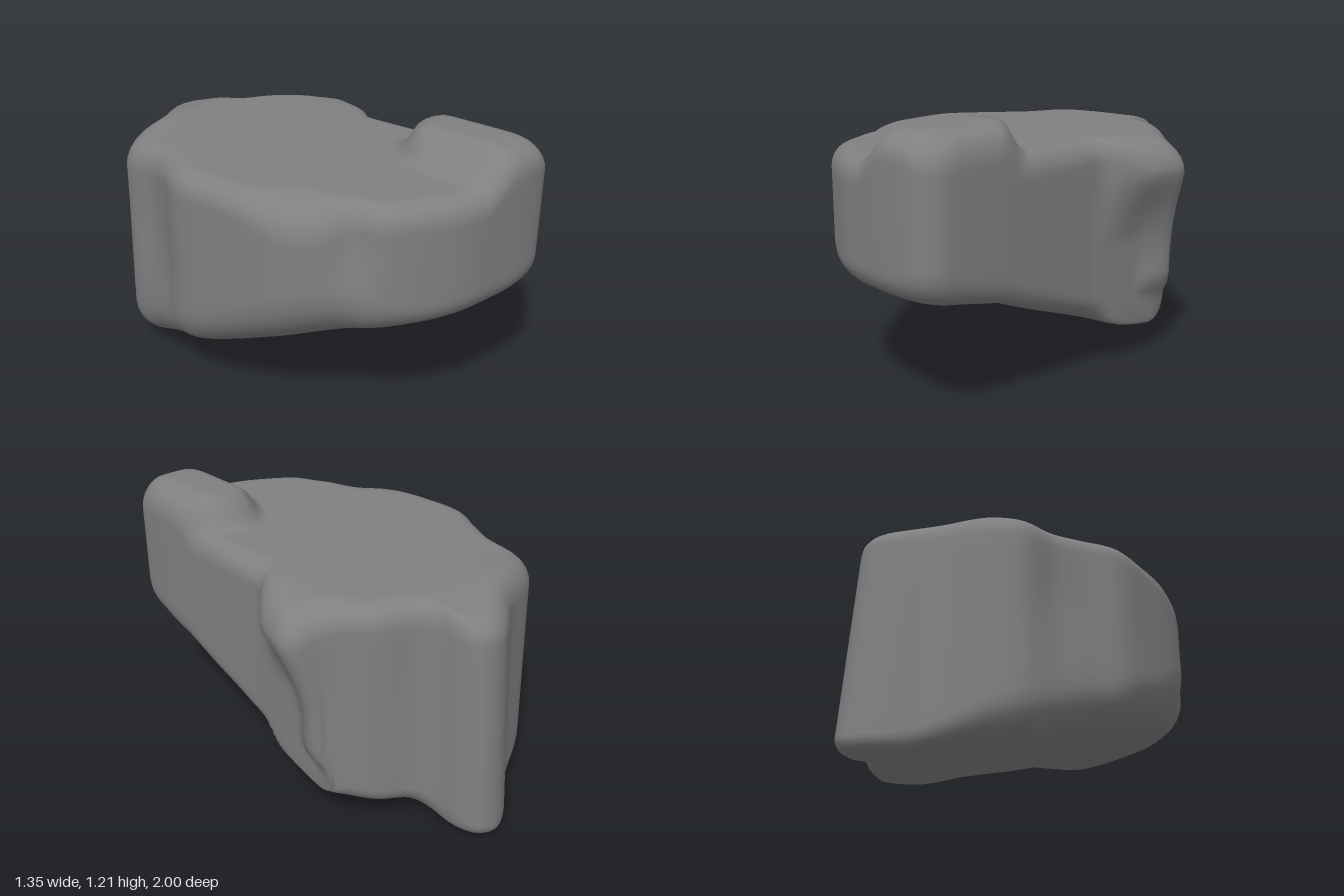
import * as THREE from 'three';

// Plan outline of the boulder (x, z), starting at the back point and going by the left (+x) side
const OUTLINE = [
  [0.03, -1.0], [0.12, -0.98], [0.16, -0.9], [0.18, -0.78], [0.22, -0.7], [0.38, -0.6],
  [0.5, -0.48], [0.56, -0.43], [0.62, -0.41], [0.67, -0.36], [0.66, -0.28], [0.62, -0.17],
  [0.55, -0.08], [0.49, -0.01], [0.48, 0.15], [0.48, 0.45], [0.47, 0.8], [0.45, 0.93],
  [0.39, 0.99], [0.28, 1.0], [0.1, 0.98], [-0.06, 0.95], [-0.2, 0.89], [-0.4, 0.75],
  [-0.47, 0.63], [-0.61, 0.42], [-0.65, 0.28], [-0.67, 0.1], [-0.67, -0.13], [-0.6, -0.28],
  [-0.55, -0.42], [-0.53, -0.62], [-0.44, -0.72], [-0.22, -0.83], [-0.06, -0.96],
];
// Underside height along z, and the share of the side spur that is taken away along y
const UNDER = [[-1, 0], [-0.85, 0], [-0.6, 0.045], [-0.3, 0.14], [0, 0.25], [0.4, 0.4], [0.6, 0.48], [0.8, 0.52], [1, 0.54]];
const SPUR = [[0.2, 0.9], [0.3, 0.78], [0.37, 0.53], [0.5, 0.53], [0.6, 0.48], [0.72, 0.33], [0.9, 0], [1.1, 0]];

const smooth = THREE.MathUtils.smoothstep;
const bell = (x, z, cx, cz, width) => Math.exp(-((x - cx) ** 2 + (z - cz) ** 2) / width);

function sample(table, t) {
  if (t <= table[0][0]) return table[0][1];
  for (let i = 1; i < table.length; i++) {
    const [a, va] = table[i - 1], [b, vb] = table[i];
    if (t <= b) return va + (vb - va) * (t - a) / (b - a);
  }
  return table[table.length - 1][1];
}

// Sloping underside, a little higher toward +x
const bottomY = (x, z) => sample(UNDER, z) + 0.05 * smooth(x, 0, 0.25) * smooth(-z, 0.1, 0.6);

// Flat top with a domed knob at the front left corner and slight falls at the back corners and on the spur
function topY(x, z) {
  const crown = 0.135 - 0.045 * smooth(x, 0.33, 0.48) - 0.02 * smooth(z, 0.8, 1);
  const start = z - 3 * (x - 0.27) ** 2;
  return 1.07
    + crown * smooth(x, 0.0, 0.2) * smooth(start, 0.36, 0.48)
    - 0.04 * smooth(-z, 0.65, 0.95)
    - 0.03 * bell(x, z, -0.53, -0.62, 0.06)
    - 0.03 * smooth(x, 0.42, 0.65) * smooth(-z, 0, 0.2);
}

// Height-dependent changes to the side walls
function shapeWall(x, z, y) {
  // The spur shrinks and slips backward as it goes down, more on its front flank
  const cut = sample(SPUR, y);
  const flank = Math.min(0.9, cut * (1 + 0.9 * smooth(z, -0.36, -0.15)));
  const out = Math.max(0, x - 0.485) * smooth(-z, -0.05, 0.05);
  let nx = x - out * flank;
  let nz = z - 0.5 * out * cut;
  // The back wall leans forward as it rises
  nz += 0.07 * smooth(-z, 0.55, 1.0) * y;
  // Notch on the upper front right corner
  const notch = 0.04 * smooth(y, 0.65, 0.95) * bell(x, z, -0.43, 0.67, 0.006);
  nx += notch * 0.6;
  nz -= notch * 0.7;
  // The hollow in the right wall fills out toward the base
  nx -= 0.04 * (1 - smooth(y, 0.25, 0.75)) * bell(x, z, -0.56, -0.4, 0.03);
  return [nx, nz];
}

// Radius of the rounded lower edge and of the rounded upper edge
const lowRadius = (x, z) => 0.1 + 0.09 * smooth(-x, 0.2, 0.65) + 0.04 * smooth(-x, 0.3, 0.6) * smooth(z, 0, 0.4)
  + 0.04 * bell(x, z, 0.45, 0.95, 0.03) - 0.04 * smooth(-z, 0.75, 0.95);
const topRadius = (x, z) => 0.1 + 0.08 * bell(x, z, -0.56, 0.48, 0.03)
  + 0.03 * bell(x, z, -0.53, -0.62, 0.05) + 0.05 * smooth(x, 0.5, 0.65);

function boulderGeometry() {
  const curve = new THREE.CatmullRomCurve3(
    OUTLINE.map(([x, z]) => new THREE.Vector3(x, 0, z)), true, 'centripetal');
  const N = 160, pts = curve.getSpacedPoints(N).slice(0, N);

  // Ring list from the underside centre, round the lower edge, up the wall, round the upper edge, to the top centre
  const rings = [];
  const CAP = 24, ARC = 6, WALL = 12;
  for (let k = 1; k < CAP; k++) rings.push({ cap: k / CAP, side: 0 });
  for (let k = 0; k <= ARC; k++) rings.push({ arc: k / ARC * Math.PI / 2, side: 0 });
  for (let k = 1; k < WALL; k++) rings.push({ wall: k / WALL });
  for (let k = ARC; k >= 0; k--) rings.push({ arc: k / ARC * Math.PI / 2, side: 1 });
  for (let k = CAP - 1; k > 0; k--) rings.push({ cap: k / CAP, side: 1 });

  const pos = [], index = [];
  for (const ring of rings) {
    for (const p of pts) {
      const len = Math.hypot(p.x, p.z);
      const rLow = lowRadius(p.x, p.z), rTop = topRadius(p.x, p.z);
      const r = ring.side ? rTop : rLow;
      let s = 1, y;
      if (ring.cap !== undefined) s = ring.cap * (1 - r / len);
      else if (ring.arc !== undefined) s = 1 - r * (1 - Math.sin(ring.arc)) / len;
      const x = p.x * s, z = p.z * s;
      const lo = bottomY(x, z), hi = topY(x, z);
      if (ring.wall !== undefined) y = THREE.MathUtils.lerp(lo + rLow, hi - rTop, ring.wall);
      else {
        const lift = ring.arc !== undefined ? r * (1 - Math.cos(ring.arc)) : 0;
        y = ring.side ? hi - lift : lo + lift;
      }
      const [wx, wz] = shapeWall(x, z, y);
      pos.push(wx, y, wz);
    }
  }
  const last = rings.length - 1;
  for (let j = 0; j < last; j++) {
    for (let i = 0; i < N; i++) {
      const n = (i + 1) % N;
      const a = j * N + i, b = j * N + n, c = a + N, d = b + N;
      index.push(a, c, b, b, c, d);
    }
  }
  // Close the underside and the top
  const low = pos.length / 3, high = low + 1;
  pos.push(0, bottomY(0, 0), 0, 0, topY(0, 0), 0);
  for (let i = 0; i < N; i++) {
    const n = (i + 1) % N;
    index.push(low, i, n, high, last * N + n, last * N + i);
  }
  const geo = new THREE.BufferGeometry();
  geo.setAttribute('position', new THREE.Float32BufferAttribute(pos, 3));
  geo.setIndex(index);
  geo.computeVertexNormals();
  return geo;
}

export function createModel() {
  const group = new THREE.Group();
  group.name = 'rock';
  const boulder = new THREE.Mesh(boulderGeometry(), new THREE.MeshStandardMaterial({ color: 0x808080 }));
  boulder.name = 'boulder';
  group.add(boulder);
  return group;
}
